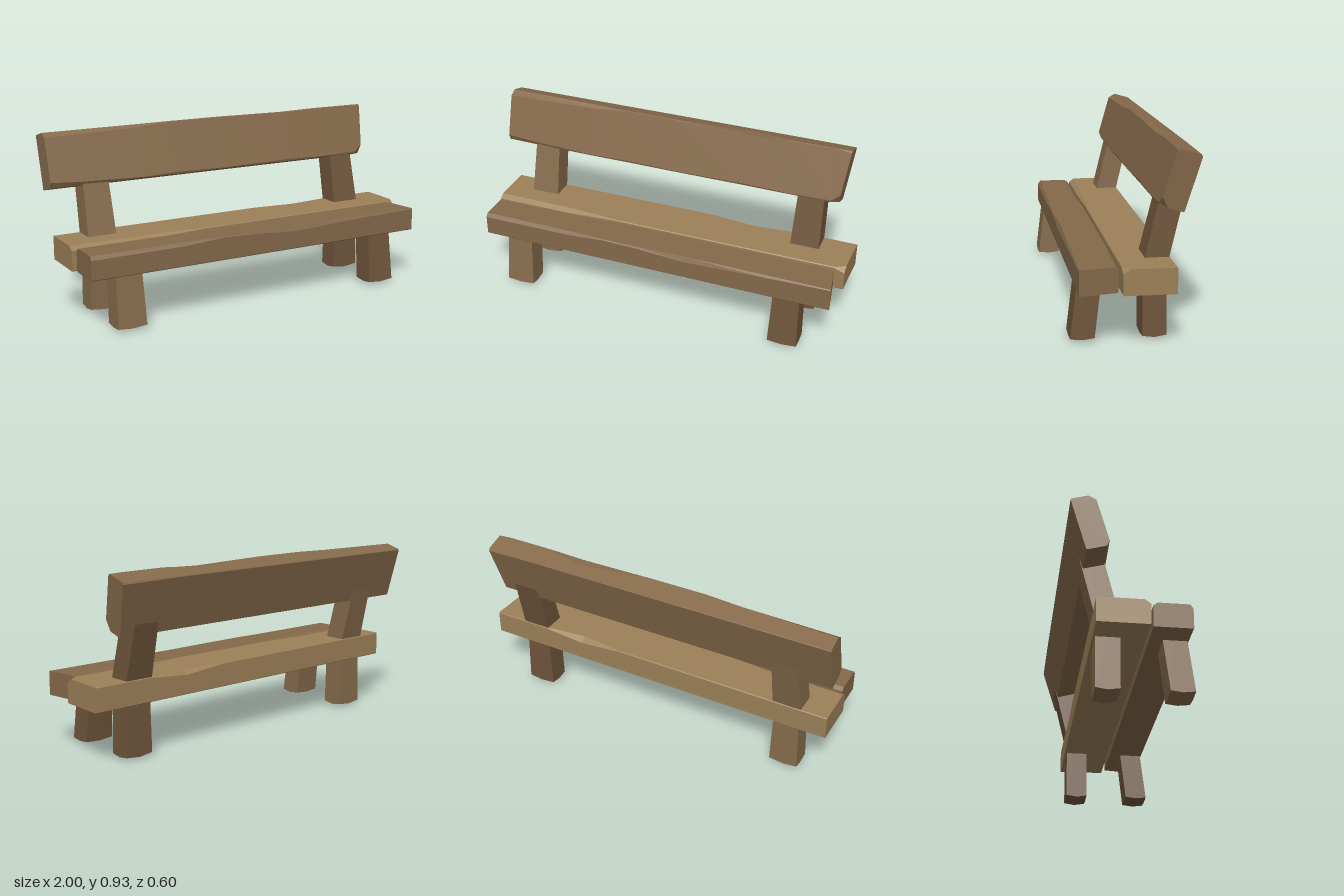
import * as THREE from 'three';

const mat = (color) => new THREE.MeshStandardMaterial({ color, flatShading: true });

// Octagonal section (z, y) of a beam whose corners are each cut by [inset, drop].
function section(depth, height, ft, bt, fb) {
  const d = depth / 2, h = height / 2, m = 0.003;
  return [
    [-d, h - bt[1]], [-d + bt[0], h], [d - ft[0], h], [d, h - ft[1]],
    [d, -h + fb[1]], [d - fb[0], -h], [-d + m, -h], [-d, -h + m],
  ];
}

// Hewn plank lofted along x. Stations: [x, frontTopCut, backTopCut, frontBottomCut].
// skew slants the +x end: [shift per y, shift per z].
function plank(name, color, depth, height, stations, skew) {
  const small = [0.004, 0.004];
  const rings = stations.map(([x, ft, bt, fb], i) =>
    section(depth, height, ft || small, bt || small, fb || small).map(([z, y]) => {
      const last = i === stations.length - 1;
      return [x + (last ? skew[0] * y + skew[1] * z : 0), y, z];
    }));
  const pos = [];
  const tri = (...pts) => pts.forEach((p) => pos.push(...p));
  const n = 8;
  for (let s = 0; s < rings.length - 1; s++) {
    for (let i = 0; i < n; i++) {
      const j = (i + 1) % n, A = rings[s], B = rings[s + 1];
      tri(A[i], A[j], B[j]);
      tri(A[i], B[j], B[i]);
    }
  }
  const first = rings[0], last = rings[rings.length - 1];
  for (let i = 1; i < n - 1; i++) {
    tri(first[0], first[i + 1], first[i]);
    tri(last[0], last[i], last[i + 1]);
  }
  const geo = new THREE.BufferGeometry();
  geo.setAttribute('position', new THREE.Float32BufferAttribute(pos, 3));
  geo.computeVertexNormals();
  const mesh = new THREE.Mesh(geo, mat(color));
  mesh.name = name;
  return mesh;
}

// Square post from y0 to y1 with its centre moving from z0 to z1; point = depth of the blunt tip.
function post(name, color, x, y0, y1, z0, z1, point) {
  const w0 = 0.154, w1 = 0.138, d = 0.116;
  const geo = new THREE.BoxGeometry(1, 1, 1, 2, 1, 2);
  const p = geo.attributes.position;
  for (let i = 0; i < p.count; i++) {
    const u = p.getX(i), v = p.getZ(i), t = p.getY(i) + 0.5;
    const tip = (1 - t) * point * (1 - Math.abs(u) - Math.abs(v));
    p.setXYZ(i, x + u * (w0 + (w1 - w0) * t), y0 + (y1 - y0) * t - tip, z0 + (z1 - z0) * t + v * d);
  }
  geo.computeVertexNormals();
  const mesh = new THREE.Mesh(geo, mat(color));
  mesh.name = name;
  return mesh;
}

export function createModel() {
  const bench = new THREE.Group();
  bench.name = 'bench';

  // Seat: two thick planks with a narrow gap
  const frontSeat = plank('frontSeatPlank', 0x84694a, 0.185, 0.123, [
    [-0.955, [0.015, 0.02], [0.02, 0.015]],
    [-0.45, [0.012, 0.018], [0.018, 0.012]],
    [-0.25],
    [-0.05, [0.006, 0.01]],
    [0.2, [0.012, 0.028]],
    [0.6, [0.008, 0.012]],
    [0.955, null, [0.012, 0.012]],
  ], [0, 0.16]);
  frontSeat.position.set(0, 0.339, 0.183);

  const backSeat = plank('backSeatPlank', 0x9c8058, 0.25, 0.125, [
    [-0.975, [0.028, 0.02]],
    [-0.55, [0.025, 0.018]],
    [-0.25],
    [0.2],
    [0.45, null, [0.03, 0.025]],
    [0.7],
    [0.94],
    [0.995, [0.035, 0.025]],
  ], [0, -0.03]);
  backSeat.position.set(0, 0.34, -0.047);

  // Leaning backrest
  const backrest = plank('backrest', 0x866a4b, 0.119, 0.281, [
    [-1.0, [0.03, 0.03], null, [0.02, 0.026]],
    [-0.85, [0.026, 0.027], null, [0.014, 0.016]],
    [-0.5, [0.016, 0.02]],
    [-0.3, null, null, [0.006, 0.01]],
    [-0.02],
    [0.4, [0.05, 0.012], null, [0.006, 0.01]],
    [0.6],
    [0.85, null, [0.008, 0.008], [0.006, 0.01]],
    [0.905, [0.008, 0.01], [0.01, 0.01], [0.04, 0.045]],
  ], [0.11, 0]);
  backrest.position.set(0, 0.781, -0.202);
  backrest.rotation.x = -0.28;

  bench.add(frontSeat, backSeat, backrest);

  // Legs and backrest supports on both sides
  for (const [side, x, color] of [['left', 0.745, 0x6f553b], ['right', -0.758, 0x866b4c]]) {
    bench.add(
      post(side + 'FrontLeg', color, x, 0.022, 0.3, 0.241, 0.208, 0.014),
      post(side + 'BackLeg', color, x, 0.02, 0.3, -0.102, -0.102, 0.018),
      post(side + 'BackSupport', color, x, 0.38, 0.685, -0.105, -0.179, 0),
    );
  }
  return bench;
}
